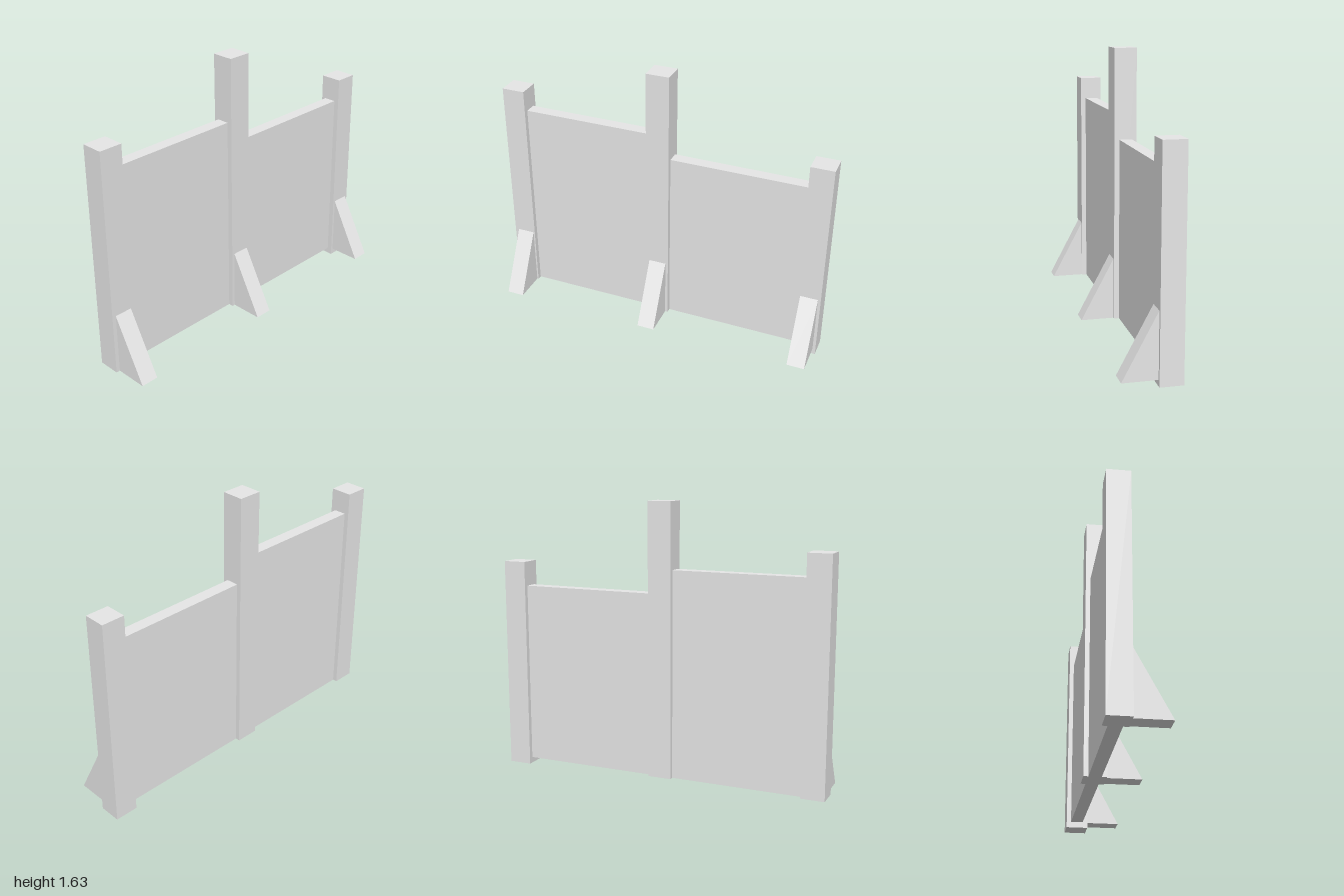
import * as THREE from 'three';

export function createModel() {
  const group = new THREE.Group();
  group.name = 'fence';
  const grey = new THREE.MeshStandardMaterial({ color: 0xe7e7e7 });
  grey.name = 'plain grey';

  // Box given by its extents on each axis
  const box = (name, [x0, x1], [y0, y1], [z0, z1]) => {
    const mesh = new THREE.Mesh(new THREE.BoxGeometry(x1 - x0, y1 - y0, z1 - z0), grey);
    mesh.position.set((x0 + x1) / 2, (y0 + y1) / 2, (z0 + z1) / 2);
    mesh.name = name;
    group.add(mesh);
  };

  // Triangular foot brace, extruded along z
  const profile = new THREE.Shape([
    new THREE.Vector2(-0.035, 0.035),
    new THREE.Vector2(0.16, 0.035),
    new THREE.Vector2(-0.035, 0.4),
  ]);
  const braceGeometry = new THREE.ExtrudeGeometry(profile, { depth: 0.105, bevelEnabled: false });

  // Three posts of differing height, each with a brace
  const posts = [
    { name: 'front', z: [0.863, 1], y: [0.035, 1.383], brace: 0.872 },
    { name: 'middle', z: [-0.052, 0.087], y: [0.035, 1.632], brace: -0.036 },
    { name: 'back', z: [-1, -0.863], y: [0, 1.255], brace: -0.983 },
  ];
  for (const p of posts) {
    box(p.name + 'Post', [-0.165, -0.035], p.y, p.z);
    const brace = new THREE.Mesh(braceGeometry, grey);
    brace.position.z = p.brace;
    brace.name = p.name + 'Brace';
    group.add(brace);
  }

  // Solid panels between the posts
  box('frontPanel', [-0.138, -0.065], [0.035, 1.25], [0.087, 0.863]);
  box('backPanel', [-0.138, -0.065], [0.035, 1.11], [-0.863, -0.052]);

  return group;
}
